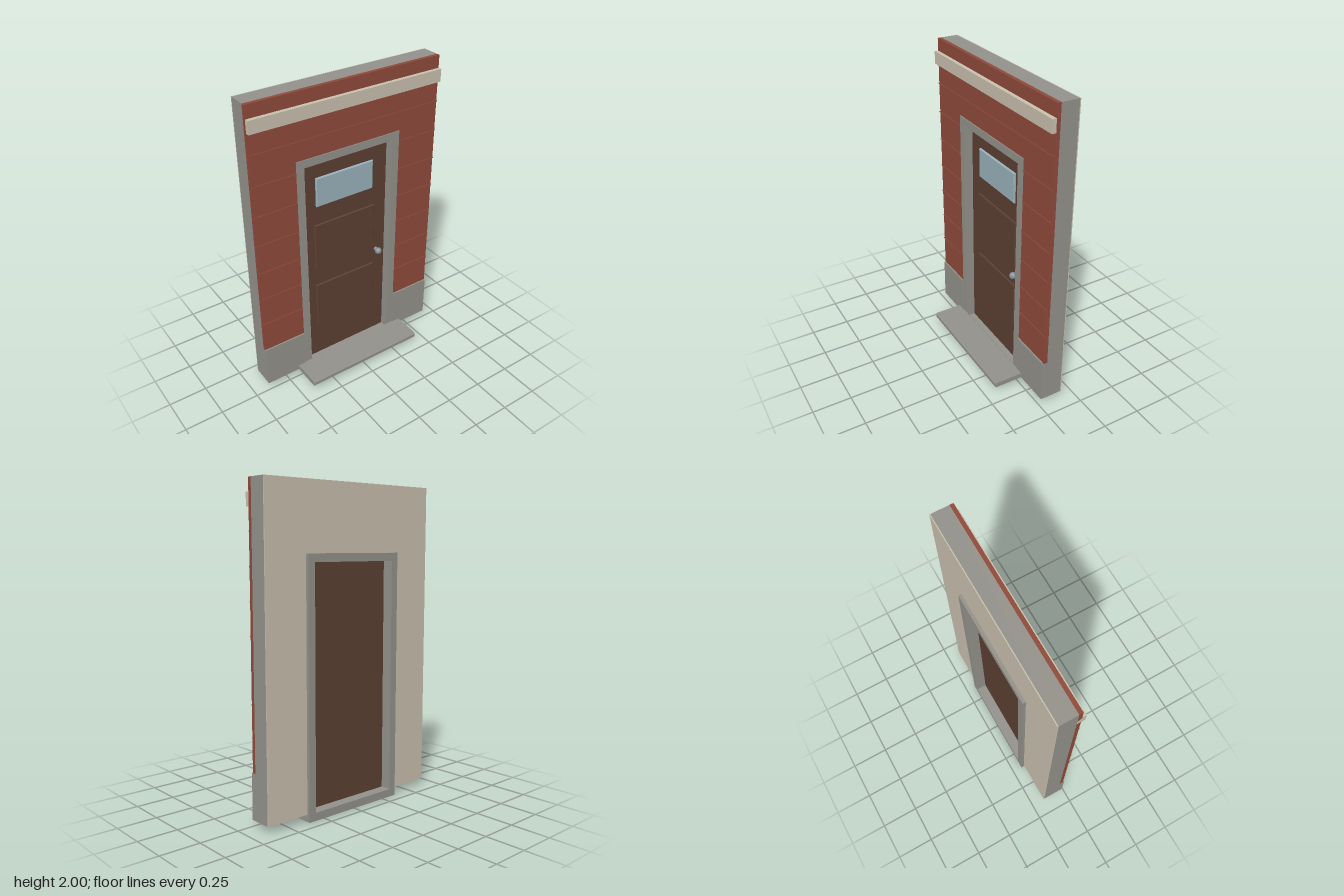
import * as THREE from 'three';

const mat = (name, color) => {
  const m = new THREE.MeshStandardMaterial({ color });
  m.name = name;
  return m;
};

export function createModel() {
  const group = new THREE.Group();
  const stone = mat('stone grey', 0x93918a);
  const red = mat('siding red', 0x8f4a3a);
  const cream = mat('cream plaster', 0xc9c0ae);
  const brown = mat('door brown', 0x5c4033);
  const glass = mat('pale glass', 0x98b0ba);
  const metal = mat('knob metal', 0x84949a);

  const W = 0.653;        // half width of the wall
  const F = 0.365;        // half width of the door frame
  const FT = 1.585;       // top of the door frame

  const add = (name, geometry, material) => {
    const mesh = new THREE.Mesh(geometry, material);
    mesh.name = name;
    group.add(mesh);
    return mesh;
  };
  const box = (name, material, x0, x1, y0, y1, z0, z1) =>
    add(name, new THREE.BoxGeometry(x1 - x0, y1 - y0, z1 - z0), material)
      .position.set((x0 + x1) / 2, (y0 + y1) / 2, (z0 + z1) / 2);
  const extrude = (name, material, shape, z0, z1) =>
    add(name, new THREE.ExtrudeGeometry(shape, { depth: z1 - z0, bevelEnabled: false }), material)
      .position.z = z0;
  const poly = (pts) => new THREE.Shape(pts.map(([x, y]) => new THREE.Vector2(x, y)));
  const rect = (x0, x1, y0, y1) => poly([[x0, y0], [x1, y0], [x1, y1], [x0, y1]]);
  // wall outline with the doorway cut out of its lower edge
  const portal = (y0) => poly([[-W, y0], [-F, y0], [-F, FT], [F, FT], [F, y0], [W, y0], [W, 2], [-W, 2]]);
  // box with chamfered edges
  const bevelBox = (name, material, x0, x1, y0, y1, z0, z1, b) => {
    const g = new THREE.ExtrudeGeometry(rect(x0 + b, x1 - b, y0 + b, y1 - b), {
      depth: z1 - z0 - 2 * b, bevelThickness: b, bevelSize: b, bevelSegments: 1,
    });
    add(name, g, material).position.z = z0 + b;
  };

  // wall layers
  extrude('wallCore', stone, portal(0.045), -0.157, -0.045);
  extrude('innerPlaster', cream, portal(0.045), -0.163, -0.157);
  extrude('siding', red, portal(0.33), -0.045, -0.021);

  // thin lap lines across the siding
  for (let i = 0; i < 7; i++) {
    const y = 0.537 + i * 0.195;
    const spans = y < FT ? [[-W, -F], [F, W]] : [[-W, W]];
    for (const [a, b] of spans) box('sidingLap', red, a, b, y - 0.003, y + 0.003, -0.03, -0.016);
  }

  // stone plinth and cornice band
  box('plinthRight', stone, -W, -F, 0.045, 0.33, -0.045, -0.011);
  box('plinthLeft', stone, F, W, 0.045, 0.33, -0.045, -0.011);
  box('corniceBand', cream, -W, W, 1.84, 1.92, -0.045, 0.004);

  // door frame
  const frame = rect(-F, F, 0, FT);
  frame.holes.push(rect(-0.315, 0.315, 0.05, 1.535));
  extrude('doorFrame', stone, frame, -0.183, -0.015);

  // door with raised panels and window
  box('door', brown, -0.315, 0.315, 0.05, 1.535, -0.113, -0.075);
  for (const [y0, y1] of [[0.307, 0.63], [0.765, 1.087]])
    bevelBox('doorPanel', brown, -0.228, 0.225, y0, y1, -0.085, -0.066, 0.005);
  bevelBox('doorWindow', glass, -0.21, 0.207, 1.215, 1.412, -0.085, -0.062, 0.005);

  // knob
  const rose = add('knobStem', new THREE.CylinderGeometry(0.011, 0.014, 0.03, 12), metal);
  rose.rotation.x = Math.PI / 2;
  rose.position.set(0.247, 0.73, -0.062);
  add('knob', new THREE.SphereGeometry(0.023, 14, 10), metal).position.set(0.247, 0.73, -0.042);

  // front step
  bevelBox('step', stone, -0.422, 0.422, 0.045, 0.078, -0.02, 0.183, 0.005);

  return group;
}
